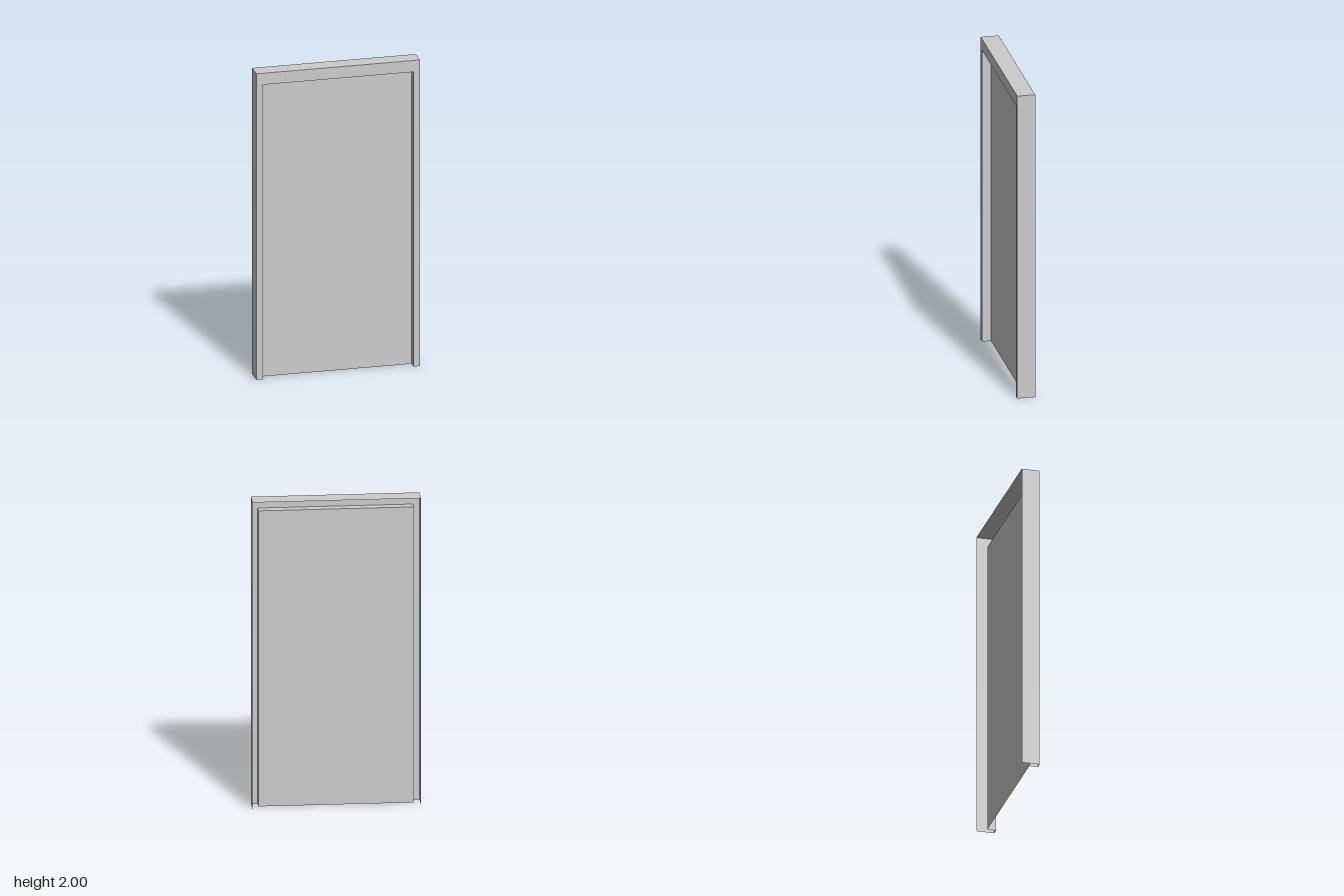
import * as THREE from 'three';

const OUT_X = 0.522, OUT_Y = 2;        // outer casing
const IN_X = 0.481, IN_Y = 1.925;      // door opening
const FRONT = 0.057, BACK = -0.057, PANEL = 0.002;

const material = new THREE.MeshStandardMaterial({ color: 0xcccccc, side: THREE.DoubleSide });

function addPart(group, name, geometry, z = 0) {
  const mesh = new THREE.Mesh(geometry, material);
  mesh.name = name;
  mesh.position.z = z;
  group.add(mesh);
}

// Open-bottomed arch outline: up the left jamb, across the head, down the right
function archPoints(x, y) {
  return [[x, 0], [x, y], [-x, y], [-x, 0]].map(([px, py]) => new THREE.Vector2(px, py));
}

// Thin sheet folded along the arch, reaching from zFront back to zBack
function foldedSheet(x, y, zFront, zBack) {
  const pts = archPoints(x, y), pos = [];
  for (let i = 0; i < pts.length - 1; i++) {
    const a = pts[i], b = pts[i + 1];
    pos.push(a.x, a.y, zFront, a.x, a.y, zBack, b.x, b.y, zBack);
    pos.push(a.x, a.y, zFront, b.x, b.y, zBack, b.x, b.y, zFront);
  }
  const geometry = new THREE.BufferGeometry();
  geometry.setAttribute('position', new THREE.Float32BufferAttribute(pos, 3));
  geometry.computeVertexNormals();
  return geometry;
}

export function createModel() {
  const group = new THREE.Group();
  group.name = 'doorWithFrame';

  // Flat front face of the frame, around the opening
  const face = new THREE.Shape([...archPoints(OUT_X, OUT_Y), ...archPoints(IN_X, IN_Y).reverse()]);
  addPart(group, 'frameFace', new THREE.ShapeGeometry(face), FRONT);

  // Outer casing and the inner reveal; the back and bottom stay open
  addPart(group, 'frameCasing', foldedSheet(OUT_X, OUT_Y, FRONT, BACK));
  addPart(group, 'frameReveal', foldedSheet(IN_X, IN_Y, FRONT, PANEL));

  // Recessed door leaf
  addPart(group, 'doorPanel', new THREE.PlaneGeometry(2 * IN_X, IN_Y).translate(0, IN_Y / 2, 0), PANEL);

  return group;
}
